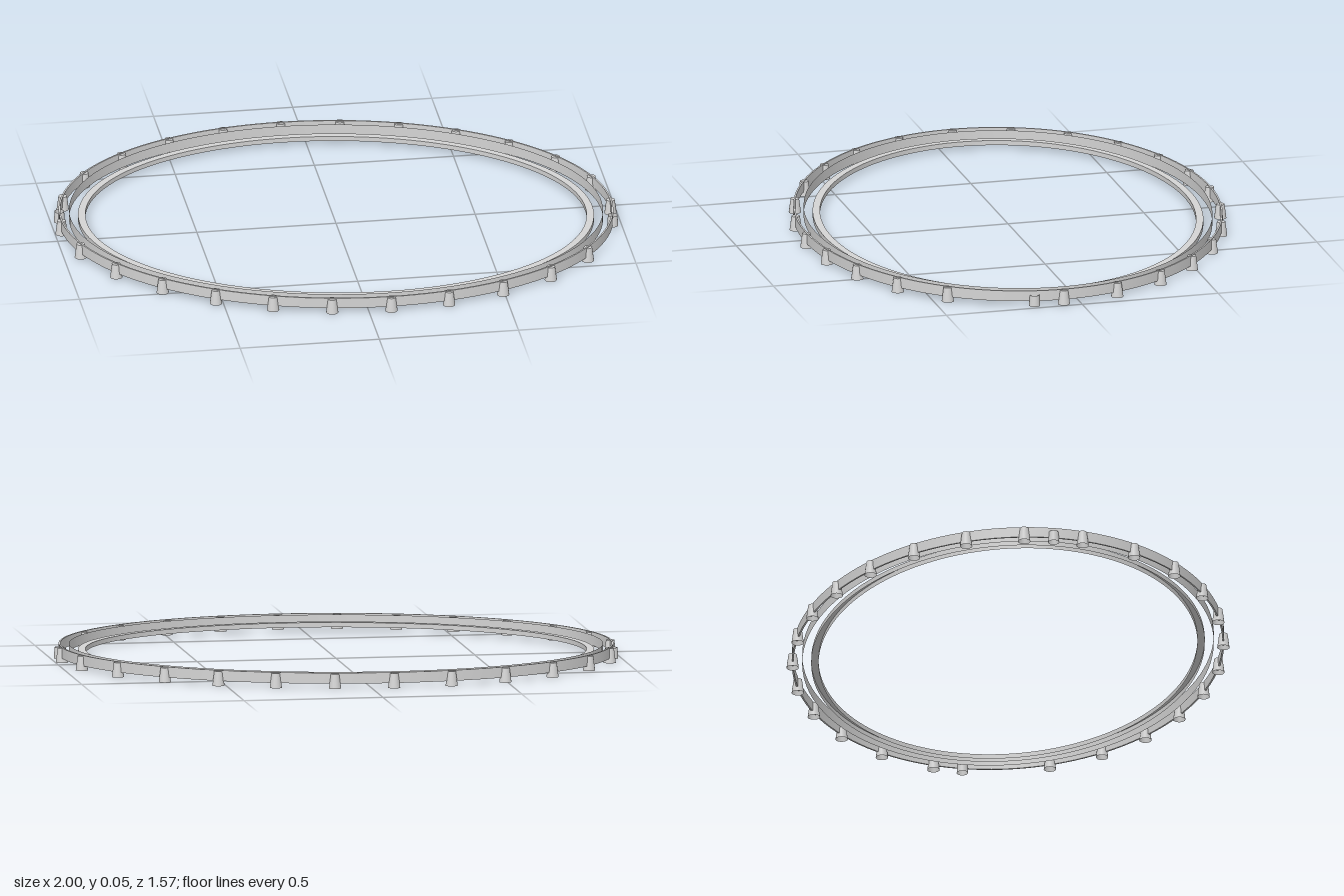
import * as THREE from 'three';
import { mergeGeometries } from 'three/addons/utils/BufferGeometryUtils.js';

const TILT = 0.164;           // turn of the long axis about y
const A = 0.982, B = 0.757;   // semi-axes of the outer wall
const POSTS = 26, START = -0.131;
const SEGMENTS = 128;

// Oval loop set in from the outer wall line by a given amount
const oval = (inset, start = 0) =>
  new THREE.EllipseCurve(0, 0, A - inset, B - inset, start, start + Math.PI * 2, false, TILT);

// Thin closed strip running round the oval between two [inset, y] edges
function strip(...edges) {
  const positions = [], index = [];
  for (const [inset, y] of edges) {
    for (const p of oval(inset).getPoints(SEGMENTS).slice(0, SEGMENTS)) positions.push(p.x, y, p.y);
  }
  for (let i = 0; i < SEGMENTS; i++) {
    const j = (i + 1) % SEGMENTS;
    index.push(i, i + SEGMENTS, j, j, i + SEGMENTS, j + SEGMENTS);
  }
  const geometry = new THREE.BufferGeometry();
  geometry.setAttribute('position', new THREE.Float32BufferAttribute(positions, 3));
  geometry.setIndex(index);
  geometry.computeVertexNormals();
  return geometry;
}

export function createModel() {
  const grey = new THREE.MeshStandardMaterial({ color: 0xd4d4d4, side: THREE.DoubleSide });
  grey.name = 'light grey';

  const model = new THREE.Group();
  model.name = 'ovalFence';
  const add = (name, geometry) => {
    const mesh = new THREE.Mesh(geometry, grey);
    mesh.name = name;
    model.add(mesh);
    return mesh;
  };

  // Sweep an [inset, y] profile round the oval, with sharp corners
  const hoop = (name, profile) =>
    add(name, mergeGeometries(profile.slice(1).map((edge, i) => strip(profile[i], edge))));

  hoop('outerWall', [[-0.003, 0.017], [-0.003, 0.055], [0.003, 0.055], [0.003, 0.017], [-0.003, 0.017]]);
  hoop('middleBand', [[0.034, 0.017], [0.034, 0.054]]);
  // Inner ring: a channel open underneath
  hoop('innerRing', [[0.066, 0.017], [0.066, 0.034], [0.092, 0.034], [0.092, 0.017]]);

  // Tapered hollow posts evenly spaced along the wall, with one left out as a gap
  const postGeometry = mergeGeometries([
    new THREE.CylinderGeometry(0.015, 0.022, 0.052, 16, 1, true).translate(0, 0.026, 0),
    new THREE.CircleGeometry(0.015, 16).rotateX(-Math.PI / 2).translate(0, 0.052, 0),
  ]);
  oval(0, START).getSpacedPoints(POSTS).slice(0, POSTS).forEach((p, i) => {
    if (i === 1) return;
    add('post', postGeometry).position.set(p.x, 0, p.y);
  });

  // Two short open sockets on opposite sides
  const socketGeometry = new THREE.CylinderGeometry(0.017, 0.02, 0.04, 16, 1, true).translate(0, 0.02, 0);
  for (const s of [1, -1]) {
    add('socket', socketGeometry).position.set(s * 0.968, 0, s * 0.167);
  }
  return model;
}
